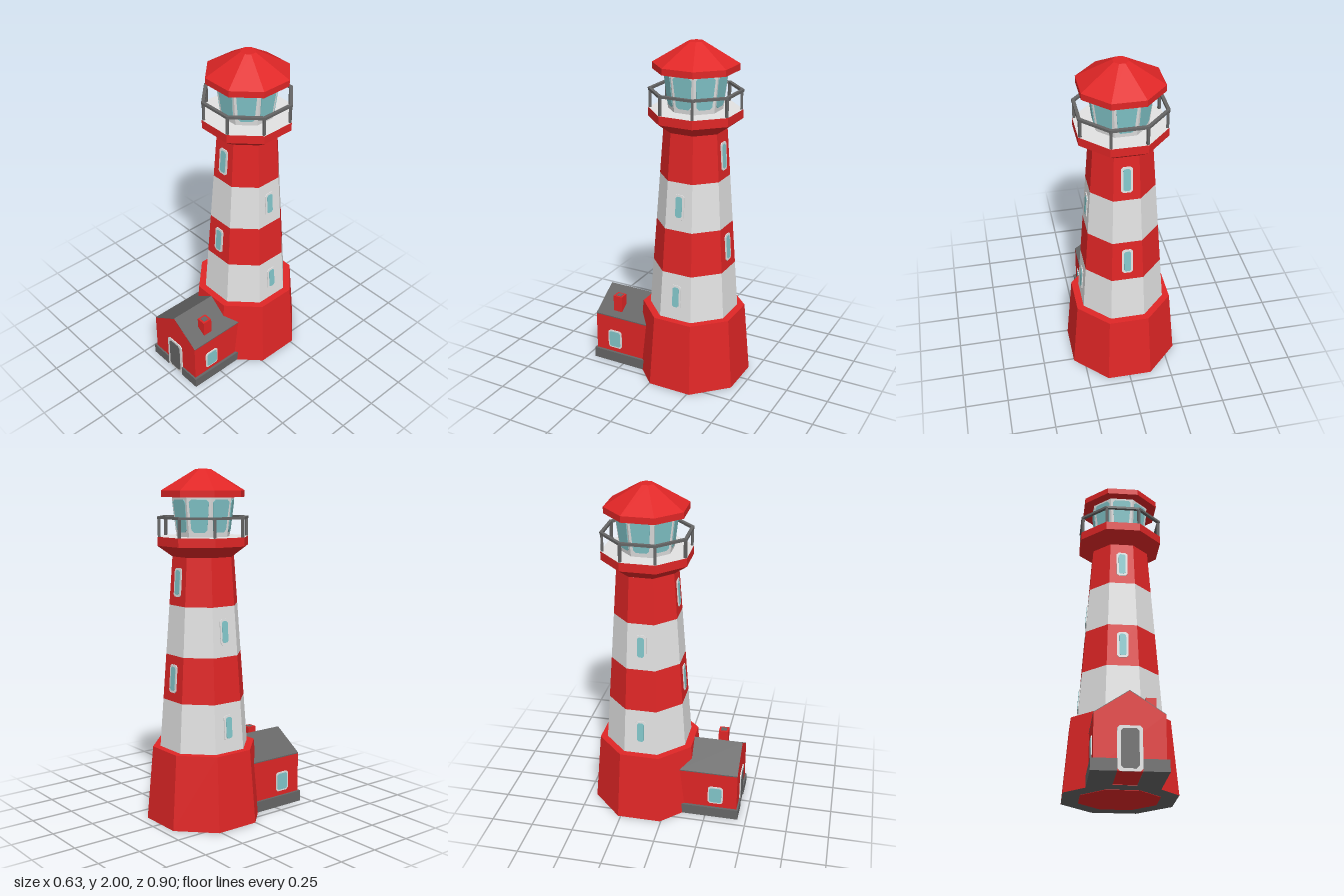
import * as THREE from 'three';

const mat = (name, color) => {
  const m = new THREE.MeshStandardMaterial({ color });
  m.name = name;
  return m;
};

export function createModel() {
  const red = mat('red paint', 0xe02626);
  const white = mat('white paint', 0xe2e2e2);
  const grey = mat('dark grey', 0x666666);
  const glass = mat('glass', 0x82c6ca);

  const model = new THREE.Group();
  model.name = 'lighthouse';
  const tower = new THREE.Group();
  tower.name = 'tower';
  tower.position.z = -0.135;
  model.add(tower);

  const add = (parent, name, geometry, material) => {
    const mesh = new THREE.Mesh(geometry, material);
    mesh.name = name;
    parent.add(mesh);
    return mesh;
  };

  const C8 = Math.cos(Math.PI / 8);

  // Flat-faced octagonal frustum, sized by its apothems, flat sides to the axes
  const octagon = (name, y0, y1, a0, a1, material, open = false) => {
    const h = y1 - y0;
    const g = new THREE.CylinderGeometry(a1 / C8, a0 / C8, h, 8, 1, open).toNonIndexed();
    g.rotateY(Math.PI / 8).translate(0, y0 + h / 2, 0);
    g.computeVertexNormals();
    return add(tower, name, g, material);
  };

  // Thin plate with cut corners, bottom and top half widths, centred in height
  const plate = (wb, wt, h, c, depth) => {
    const b = h / 2;
    const s = new THREE.Shape([
      [-wb + c, -b], [wb - c, -b], [wb, -b + c], [wt, b - c],
      [wt - c, b], [-wt + c, b], [-wt, b - c], [-wb, -b + c],
    ].map(([x, y]) => new THREE.Vector2(x, y)));
    return new THREE.ExtrudeGeometry(s, { depth, bevelEnabled: false });
  };

  // Framed window: faces +z, glass slightly proud of its frame
  const makeWindow = (w, h, border) => {
    const g = new THREE.Group();
    g.name = 'window';
    add(g, 'windowFrame', plate(w, w, h, 0.012, 0.005), white);
    add(g, 'windowGlass', plate(w - border, w - border, h - 2 * border, 0.009, 0.007), glass);
    return g;
  };

  // Put an object on a tilted side of the tower
  const onSide = (object, angle, y, apothem, tilt) => {
    const pivot = new THREE.Group();
    pivot.name = object.name + 'Mount';
    pivot.rotation.y = angle;
    object.position.set(0, y, apothem);
    object.rotation.x = tilt;
    pivot.add(object);
    tower.add(pivot);
  };

  // Base
  octagon('base', 0.002, 0.43, 0.315, 0.28, [red, red, grey]);
  octagon('baseUnderside', 0, 0.002, 0.22, 0.22, red);

  // Striped shaft
  const apothemAt = (y) => 0.24 - 0.0688 * (y - 0.43);
  const bands = [0.43, 0.71, 0.97, 1.25, 1.52];
  for (let i = 0; i < 4; i++) {
    const [y0, y1] = [bands[i], bands[i + 1]];
    octagon('shaftBand', y0, y1, apothemAt(y0), apothemAt(y1), i % 2 ? red : white, true);
  }

  // Shaft windows: front and back in the red bands, sides in the white bands
  for (const half of [0, Math.PI]) {
    for (const y of [0.84, 1.38])
      onSide(makeWindow(0.032, 0.16, 0.012), half, y, apothemAt(y), -0.0687);
    for (const y of [0.57, 1.11])
      onSide(makeWindow(0.032, 0.145, 0.012), half + Math.PI / 2, y, apothemAt(y), -0.0687);
  }

  // Gallery
  octagon('galleryFlare', 1.52, 1.58, 0.165, 0.243, red, true);
  octagon('galleryDeck', 1.58, 1.63, 0.243, 0.243, [red, white, red]);

  // Railing
  const ring = (a) => Array.from({ length: 8 }, (_, i) => {
    const t = (i + 0.5) * Math.PI / 4;
    return new THREE.Vector2(Math.cos(t) * a / C8, Math.sin(t) * a / C8);
  });
  const railShape = new THREE.Shape(ring(0.244));
  railShape.holes.push(new THREE.Path(ring(0.226)));
  const railGeometry = new THREE.ExtrudeGeometry(railShape, { depth: 0.014, bevelEnabled: false });
  railGeometry.rotateX(-Math.PI / 2).translate(0, 1.728, 0);
  add(tower, 'handrail', railGeometry, grey);
  const postGeometry = new THREE.BoxGeometry(0.014, 0.1, 0.014);
  for (let i = 0; i < 8; i++) {
    const t = (i + 0.5) * Math.PI / 4;
    const post = add(tower, 'railPost', postGeometry, grey);
    post.position.set(Math.sin(t) * 0.252, 1.679, Math.cos(t) * 0.252);
    post.rotation.y = t;
  }

  // Lantern room with a pane on each side
  octagon('lanternRoom', 1.63, 1.85, 0.141, 0.166, white);
  const paneGeometry = plate(0.044, 0.055, 0.18, 0.014, 0.004);
  for (let i = 0; i < 8; i++) {
    const pane = new THREE.Mesh(paneGeometry, glass);
    pane.name = 'lanternPane';
    onSide(pane, i * Math.PI / 4, 1.745, 0.1541, Math.atan(0.025 / 0.22));
  }

  // Roof
  octagon('roofEave', 1.847, 1.883, 0.222, 0.222, red);
  octagon('roofCone', 1.883, 2, 0.222, 0.04, red);

  // Keeper's house
  const house = new THREE.Group();
  house.name = 'house';
  model.add(house);
  const extrude = (points, z0, z1) => {
    const s = new THREE.Shape(points.map(([x, y]) => new THREE.Vector2(x, y)));
    return new THREE.ExtrudeGeometry(s, { depth: z1 - z0, bevelEnabled: false }).translate(0, 0, z0);
  };
  add(house, 'houseWalls', extrude(
    [[-0.185, 0.004], [0.185, 0.004], [0.185, 0.303], [0, 0.426], [-0.185, 0.303]], 0.08, 0.44), red);
  add(house, 'houseRoof', extrude(
    [[-0.186, 0.3], [0, 0.42], [0.186, 0.3], [0.186, 0.306], [0, 0.43], [-0.186, 0.306]], 0.08, 0.4395), grey);

  // Plinth, side windows
  for (const side of [-1, 1]) {
    const plinth = add(house, 'plinth', new THREE.BoxGeometry(0.135, 0.064, 0.35), grey);
    plinth.position.set(side * 0.1325, 0.033, 0.275);
    const w = makeWindow(0.046, 0.118, 0.009);
    w.position.set(side * 0.185, 0.152, 0.31);
    w.rotation.y = side * Math.PI / 2;
    house.add(w);
  }

  // Door
  add(house, 'doorFrame', plate(0.065, 0.065, 0.236, 0.014, 0.006), white).position.set(0, 0.12, 0.44);
  add(house, 'door', plate(0.047, 0.047, 0.206, 0.014, 0.008), grey).position.set(0, 0.12, 0.44);

  // Chimney
  add(house, 'chimney', new THREE.BoxGeometry(0.056, 0.13, 0.058), red).position.set(0.123, 0.364, 0.307);
  add(house, 'flue', new THREE.BoxGeometry(0.034, 0.004, 0.034), grey).position.set(0.123, 0.429, 0.307);

  return model;
}
